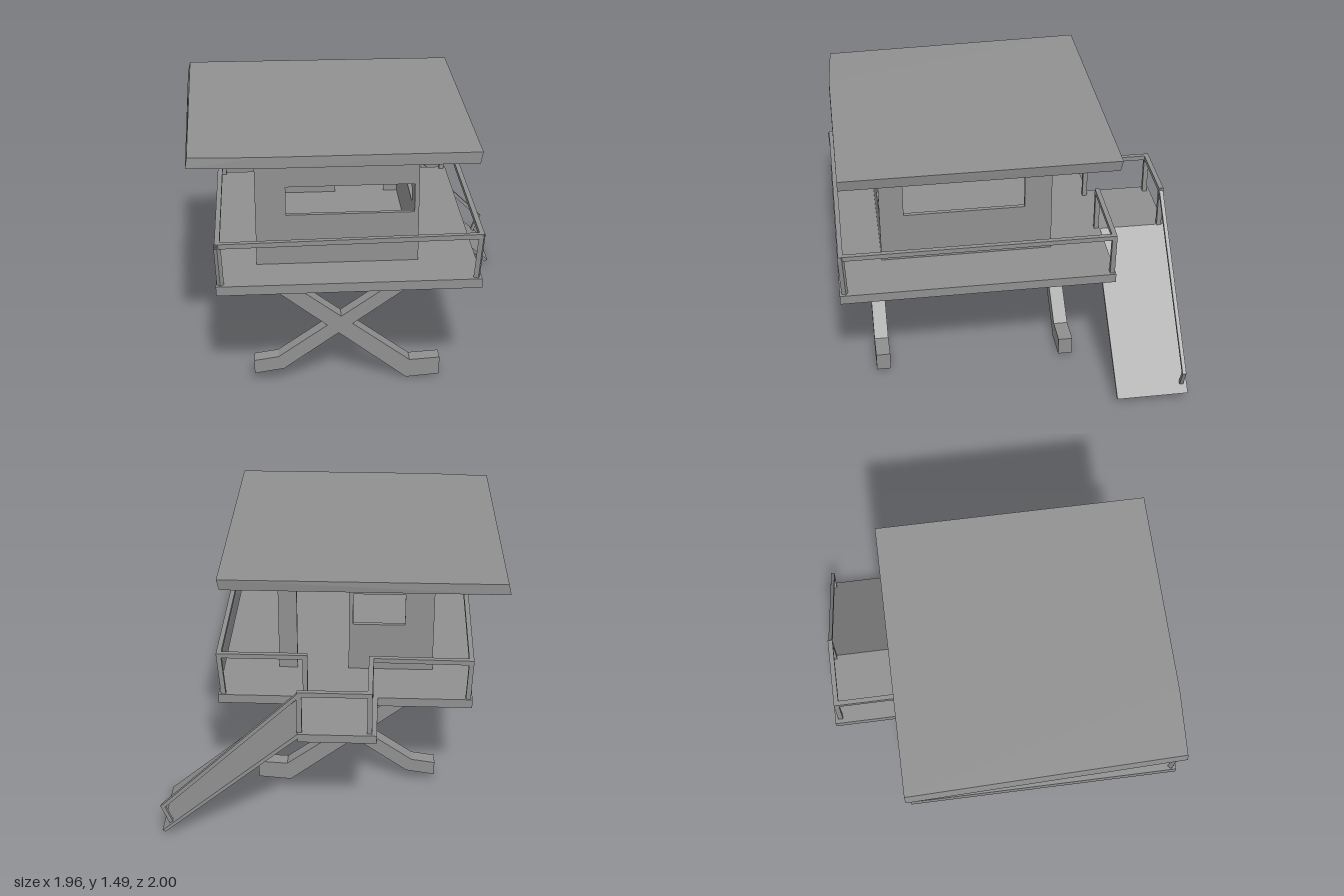
import * as THREE from 'three';
import { ConvexGeometry } from 'three/addons/geometries/ConvexGeometry.js';

export function createModel() {
  const tower = new THREE.Group();
  tower.name = 'watchTower';
  const grey = new THREE.MeshStandardMaterial({ color: 0x909090, flatShading: true });
  grey.name = 'plain grey';

  const add = (name, geometry) => {
    const mesh = new THREE.Mesh(geometry, grey);
    mesh.name = name;
    tower.add(mesh);
    return mesh;
  };

  // box given by its limits
  const block = (name, x0, x1, y0, y1, z0, z1) =>
    add(name, new THREE.BoxGeometry(x1 - x0, y1 - y0, z1 - z0))
      .position.set((x0 + x1) / 2, (y0 + y1) / 2, (z0 + z1) / 2);

  // square bar between two points
  const bar = (name, a, b, t = 0.028) => {
    const p = new THREE.Vector3(...a), q = new THREE.Vector3(...b);
    const mesh = add(name, new THREE.BoxGeometry(t, t, p.distanceTo(q) + t * 0.8));
    mesh.position.copy(p).add(q).multiplyScalar(0.5);
    mesh.lookAt(q);
  };

  // x-y outline extruded from z0 to z1, with optional holes
  const toPoints = (list) => list.map(([x, y]) => new THREE.Vector2(x, y));
  const slab = (outline, z0, z1, holes = []) => {
    const shape = new THREE.Shape(toPoints(outline));
    holes.forEach((h) => shape.holes.push(new THREE.Path(toPoints(h))));
    return new THREE.ExtrudeGeometry(shape, { depth: z1 - z0, bevelEnabled: false }).translate(0, 0, z0);
  };
  const rect = (u0, u1, y0, y1) => [[u0, y0], [u1, y0], [u1, y1], [u0, y1]];

  // two crossed leg frames, each with a tapered beam
  const legs = [
    [[-0.61, 0.06], [-0.44, 0.085], [0.3, 0.61], [0.17, 0.61], [-0.47, 0.165], [-0.61, 0.145]],
    [[0.27, 0], [0.465, 0.015], [0.465, 0.125], [0.29, 0.115], [-0.36, 0.61], [-0.5, 0.61]],
  ];
  const beam = [[-0.62, 0.595], [-0.1, 0.6], [0.4, 0.605], [0.66, 0.68], [-0.8, 0.68]];
  for (const [z0, z1] of [[0.725, 0.81], [-0.395, -0.31]]) {
    legs.forEach((outline) => add('crossedLeg', slab(outline, z0, z1)));
    add('floorBeam', slab(beam, z0, z1));
  }

  // deck, landing and ramp
  block('deck', -0.805, 0.665, 0.675, 0.73, -0.6, 1);
  block('landing', -0.26, 0.18, 0.68, 0.73, -1, -0.6);
  add('ramp', slab([[0.18, 0.7], [0.955, 0.035], [0.972, 0.045], [0.18, 0.73]], -1, -0.575));

  // cabin walls with window openings
  const t = 0.025;
  add('frontWall', slab(rect(-0.58, 0.335, 0.73, 1.415), 0.74 - t, 0.74, [rect(-0.41, 0.31, 1.03, 1.2)]));
  for (const x of [-0.58 + t, 0.335]) {
    const wall = slab(rect(-0.27, 0.74, 0.73, 1.415), 0, t, [rect(-0.11, 0.6, 1.03, 1.23)]);
    add('sideWall', wall.rotateY(-Math.PI / 2).translate(x, 0, 0));
  }
  // back wall with a doorway cut up from its lower edge
  const backOutline = [
    [-0.58, 0.73], [-0.08, 0.73], [-0.08, 1.25], [0.225, 1.25],
    [0.225, 0.73], [0.335, 0.73], [0.335, 1.415], [-0.58, 1.415],
  ];
  add('backWall', slab(backOutline, -0.27, -0.27 + t, [rect(-0.41, -0.105, 1.03, 1.23)]));

  // slightly skewed flat roof
  const roofPoints = [
    [-0.985, 1.42, -0.61], [-0.97, 1.485, -0.612], [0.632, 1.412, -0.6], [0.645, 1.48, -0.61],
    [-0.94, 1.415, 0.955], [-0.93, 1.475, 0.95], [0.632, 1.41, 0.97], [0.645, 1.475, 0.97],
    [-0.55, 1.412, 0.972], [-0.55, 1.476, 0.97],
  ];
  add('roof', new ConvexGeometry(roofPoints.map((p) => new THREE.Vector3(...p))));

  // deck railing: a top rail through these points, a post under each
  const railPath = [
    [0.16, 0.985, -0.58], [0.655, 0.985, -0.58], [0.655, 0.985, 0.98], [-0.79, 0.97, 0.98],
    [-0.79, 0.97, -0.58], [-0.22, 0.975, -0.58], [-0.22, 0.975, -0.967], [0.17, 0.975, -0.967],
  ];
  railPath.forEach((p, i) => {
    const foot = [p[0] + (p[0] > 0.6 ? -0.02 : p[0] < -0.7 ? 0.01 : 0), 0.72, p[2] - (p[2] > 0.9 ? 0.01 : 0)];
    bar('railPost', foot, p);
    if (i) bar('topRail', railPath[i - 1], p);
  });

  // sloping handrail beside the ramp
  bar('rampHandrail', [0.17, 0.972, -0.967], [0.965, 0.195, -0.967], 0.022);
  bar('rampPost', [0.965, 0.195, -0.967], [0.925, 0.095, -0.967], 0.022);

  return tower;
}
